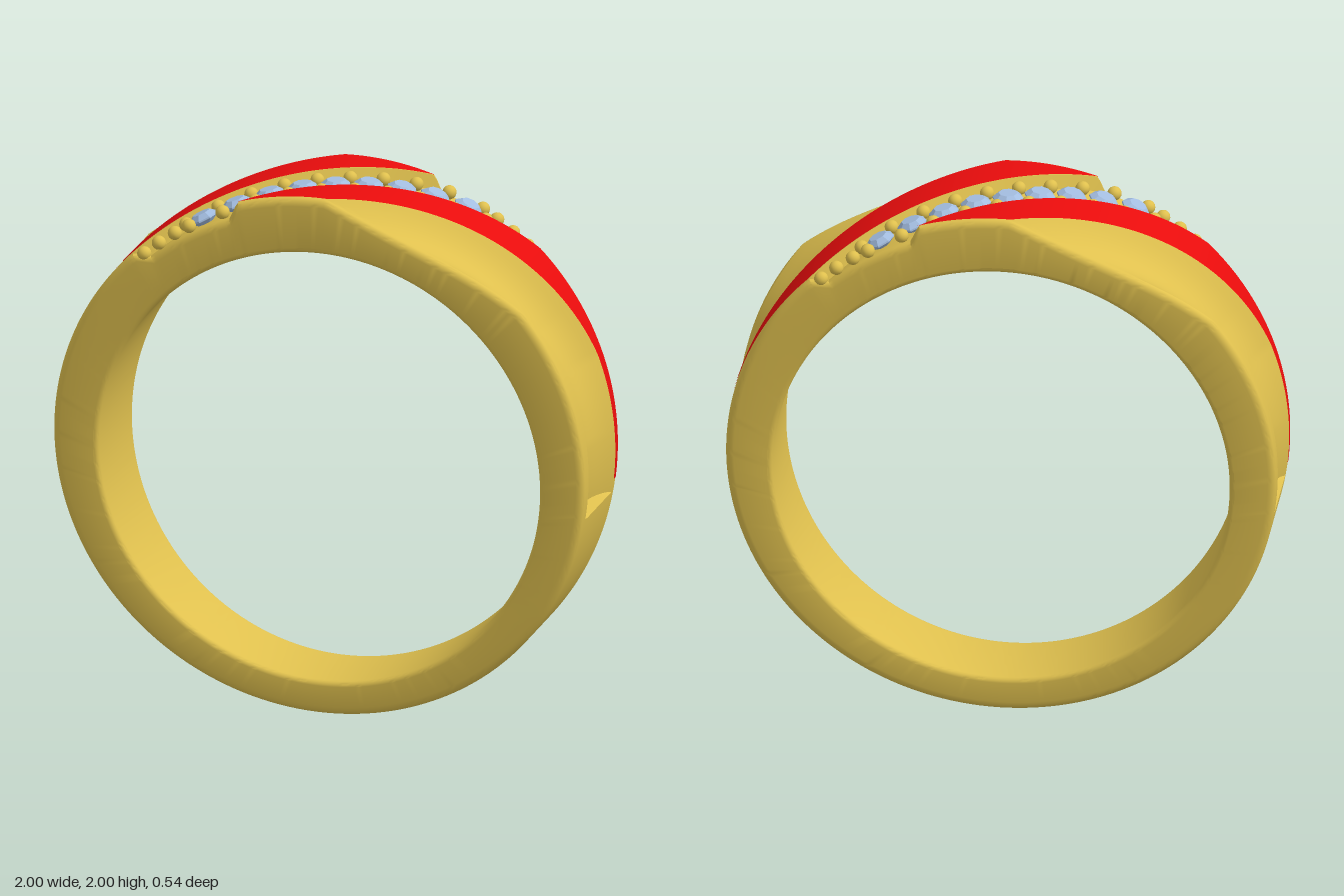
import * as THREE from 'three';
import { toCreasedNormals } from 'three/addons/utils/BufferGeometryUtils.js';

const { sin, cos, min, max, abs, acos, PI } = Math;
const material = (color) => new THREE.MeshStandardMaterial({ color });
const clamp = (v, lo, hi) => min(max(v, lo), hi);

// The band tapers: half its width at height y, and the flat part inside the rounded rim
const halfWidth = (y) => 0.15 + 0.085 * y - 0.012 * y * y;
const RIM = 0.022;
const flatHalf = (t) => halfWidth(1 + cos(t)) - RIM;

// Diagonal stripe edges across the band at angle t from the top (t > 0 towards +x)
const across = (t) => (abs(t) > PI / 2 ? Math.sign(t) : sin(t));
const outerEdge = (t) => max(0.269 - 0.47 * across(t), -0.17);
const innerEdge = (t) => 0.103 - 0.49 * across(t);

const SCOOP_END = acos(-0.16), STRIPE_END = acos(-0.11);
const SCOOP_W = 0.33, WALL = 0.022, CHANNEL_D = 0.05;

// Concave scoop beside the stripe, on the +x side
function scoopDepth(t, z) {
  if (t < 0 || t > SCOOP_END - 0.001) return 0;
  const u = (z - outerEdge(t)) / SCOOP_W;
  if (u <= 0 || u >= 1) return 0;
  const deepest = t < 1 ? 0.075 : 0.075 - 0.025 * min((t - 1) / 0.5, 1);
  return deepest * (1 - (2 * u - 1) ** 2);
}

// How far the outer surface is cut in at (t, z); the band has half-turn symmetry
function depth(t, z) {
  const inChannel = min(innerEdge(t) - z, z + innerEdge(-t));
  const channel = abs(t) < PI / 2 ? CHANNEL_D * clamp(inChannel / WALL, 0, 1) : 0;
  return channel + scoopDepth(t, z) + scoopDepth(-t, -z);
}

// Join rows of points into a surface
function loft(rows, closed) {
  const n = rows[0].length, index = [];
  for (let i = 0; i < rows.length - 1; i++) {
    for (let j = 0; j < (closed ? n : n - 1); j++) {
      const k = (j + 1) % n;
      const a = i * n + j, b = i * n + k, c = a + n, d = b + n;
      index.push(a, b, c, b, d, c);
    }
  }
  const g = new THREE.BufferGeometry();
  g.setAttribute('position', new THREE.Float32BufferAttribute(rows.flat(2), 3));
  g.setIndex(index);
  return toCreasedNormals(g, 0.5);
}

const ringPoint = (t, r, z, cy = 1) => [r * sin(t), cy + r * cos(t), z];

// One closed cross-section of the band
function section(t) {
  const L = flatHalf(t);
  const half = [outerEdge(t) + SCOOP_W, outerEdge(t), innerEdge(t), innerEdge(t) - WALL];
  const other = [innerEdge(-t) - WALL, innerEdge(-t), outerEdge(-t), outerEdge(-t) + SCOOP_W].map((v) => -v);
  const marks = [-L, ...other.reverse(), ...half.reverse(), L].map((v) => clamp(v, -L, L));
  const steps = [2, 12, 2, 1, 4, 1, 2, 12, 2];
  const z = [-L];
  steps.forEach((n, i) => {
    const a = marks[i], b = max(marks[i + 1], a);
    for (let k = 1; k <= n; k++) z.push(a + ((b - a) * k) / n);
  });
  const points = z.map((v) => ringPoint(t, 1 - depth(t, v), v));
  // rounded outer and inner corners of the +z side; the -z side mirrors them
  const inR = 0.83, inY = 0.96;
  const inW = halfWidth(inY + inR * cos(t));
  const side = (s) => {
    const d = depth(t, s * L), list = [];
    for (let k = 1; k <= 5; k++) {
      const a = (k / 5) * (PI / 2);
      list.push(ringPoint(t, 1 - d - 0.03 * (1 - cos(a)), s * (L + RIM * sin(a))));
    }
    for (let k = 0; k <= 4; k++) {
      const a = (k / 4) * (PI / 2);
      list.push(ringPoint(t, inR + 0.02 * (1 - sin(a)), s * (inW - 0.02 * (1 - cos(a))), inY));
    }
    return list;
  };
  return [...points, ...side(1), ...side(-1).reverse()];
}

function bandGeometry() {
  const angles = [-SCOOP_END, -SCOOP_END + 0.015, SCOOP_END - 0.015, SCOOP_END];
  for (let i = 0; i <= 360; i++) angles.push(-PI + (i / 360) * 2 * PI);
  angles.sort((a, b) => a - b);
  return loft(angles.map(section), true);
}

// Flush coloured stripe running from the front edge over the top and down the +x side
function stripeGeometry() {
  const rows = [], start = -0.37;
  for (let i = 0; i <= 160; i++) {
    const t = start + ((STRIPE_END - start) * i) / 160, L = flatHalf(t);
    const a = clamp(innerEdge(t), -L, L), b = clamp(outerEdge(t), -L, L);
    rows.push([0, 1, 2, 3, 4].map((k) => ringPoint(t, 1.0015, a + ((b - a) * k) / 4)));
  }
  return loft(rows, false);
}

// Faceted stone: pavilion, girdle, crown and table
function stoneGeometry() {
  const profile = [[0, -0.035], [0.056, 0], [0.056, 0.006], [0.034, 0.024], [0, 0.024]];
  const g = new THREE.LatheGeometry(profile.map(([x, y]) => new THREE.Vector2(x, y)), 8);
  return toCreasedNormals(g, 0.1);
}

export function createModel() {
  const ring = new THREE.Group();
  ring.name = 'ring';
  const gold = material(0xdfc04e), red = material(0xe80c0c), blue = material(0xa3bde0);
  const add = (geometry, mat, name) => {
    const mesh = new THREE.Mesh(geometry, mat);
    mesh.name = name;
    ring.add(mesh);
    return mesh;
  };
  // place a part on the band above (x, z), standing outwards
  const seat = (mesh, x, z, r) => {
    mesh.position.set(x, 1 + Math.sqrt(r * r - x * x), z);
    mesh.rotation.z = -Math.asin(x / r);
  };

  add(bandGeometry(), gold, 'band');

  const stripe = stripeGeometry();
  add(stripe, red, 'rightStripe');
  add(stripe, red, 'leftStripe').rotation.y = PI;

  // Row of stones along the channel
  const stone = stoneGeometry();
  const pitch = 0.11, slope = -0.435;
  for (let i = -4; i <= 4; i++) {
    seat(add(stone, blue, 'stone'), i * pitch, i * pitch * slope, 0.966);
  }

  // Holding beads between the stones, and a short row at each end
  const bead = new THREE.SphereGeometry(0.026, 16, 12);
  const spots = [[0.48, -0.245], [0.51, -0.18], [0.535, -0.24], [0.595, -0.24], [0.65, -0.24]];
  for (let i = 0; i < 4; i++) {
    const x = (i + 0.5) * pitch, z = x * slope;
    spots.push([x - 0.025, z - 0.057], [x + 0.025, z + 0.057]);
  }
  for (const s of [1, -1]) {
    for (const [x, z] of spots) seat(add(bead, gold, 'bead'), s * x, s * z, 0.972);
  }
  return ring;
}
